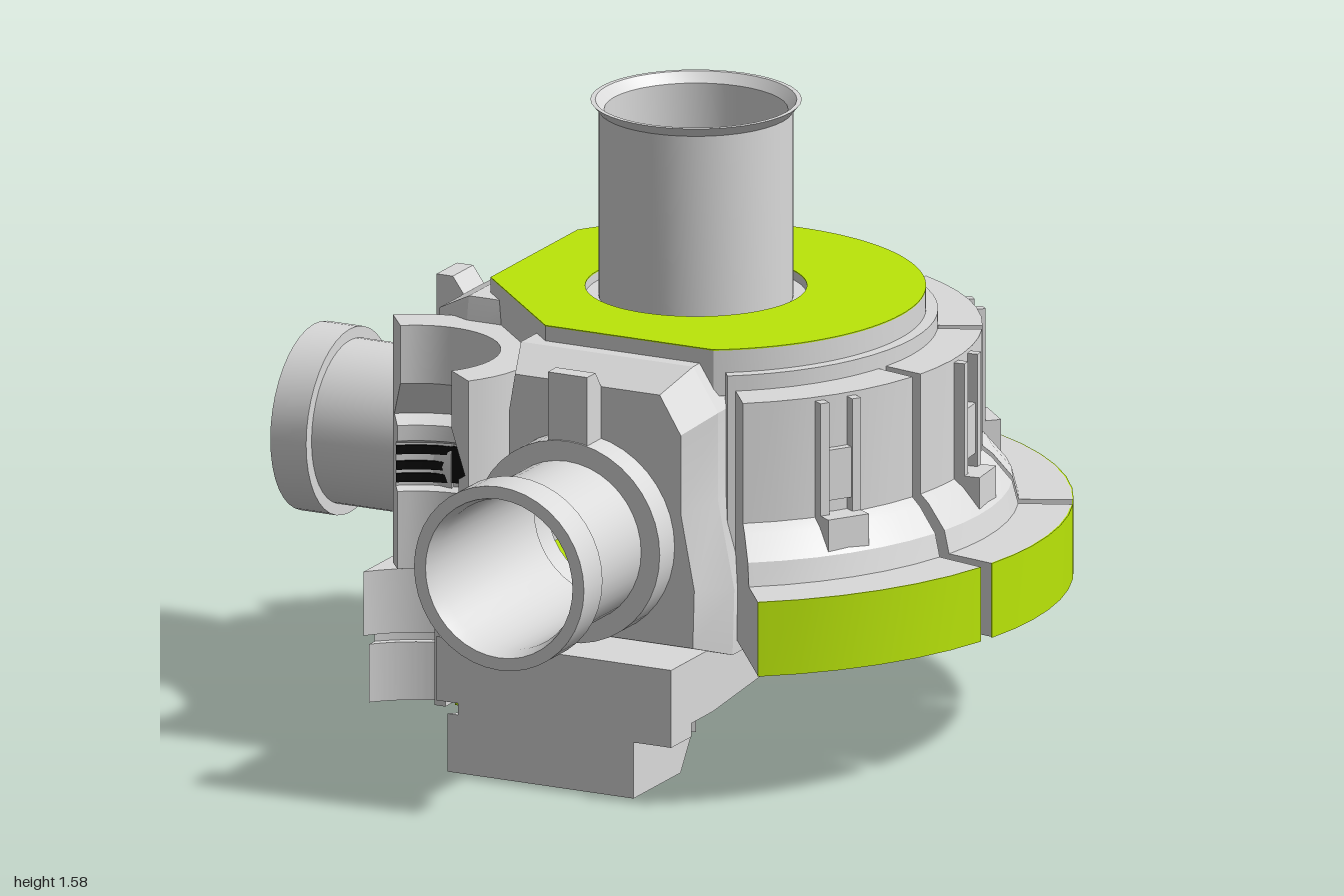
import * as THREE from 'three';
import { toCreasedNormals } from 'three/addons/utils/BufferGeometryUtils.js';

const mat = (name, color) => {
  const m = new THREE.MeshStandardMaterial({ color, side: THREE.DoubleSide });
  m.name = name;
  return m;
};
const rad = THREE.MathUtils.degToRad;
const vecs = pts => pts.map(p => new THREE.Vector2(...p));

export function createModel() {
  const grey = mat('castGrey', 0xdadada), green = mat('limeGreen', 0xbae608);
  const red = mat('red', 0xdc0a0a), black = mat('black', 0x080808);

  const model = new THREE.Group();
  model.name = 'turbineHousing';
  const main = new THREE.Group();       // everything is placed around the chimney axis
  main.name = 'housing';
  main.position.set(0.065, 0, -0.065);
  model.add(main);

  const add = (name, geo, m, parent = main) => {
    const mesh = new THREE.Mesh(geo, m);
    mesh.name = name;
    parent.add(mesh);
    return mesh;
  };

  // closed (radius, height) profile swept from angle a0 to a1, measured from +x towards -z
  const sector = (pts, a0, a1, steps) => {
    const g = new THREE.ExtrudeGeometry(new THREE.Shape(vecs(pts)), { depth: 1, steps, bevelEnabled: false });
    const p = g.attributes.position;
    for (let i = 0; i < p.count; i++) {
      const r = p.getX(i), t = -rad(a1 + (a0 - a1) * p.getZ(i));
      p.setXYZ(i, r * Math.cos(t), p.getY(i), r * Math.sin(t));
    }
    return toCreasedNormals(g, 0.4);
  };
  const rect = (r0, r1, y0, y1) => [[r0, y0], [r1, y0], [r1, y1], [r0, y1]];

  // plan outline (x, -z) extruded upward from y0 to y1
  const plan = (shape, y0, y1) => {
    const g = new THREE.ExtrudeGeometry(shape, { depth: y1 - y0, bevelEnabled: false, curveSegments: 32 });
    g.rotateX(-Math.PI / 2).translate(0, y0, 0);
    return toCreasedNormals(g, 0.4);
  };
  const hole = (shape, r, x = 0, y = 0) => {
    shape.holes.push(new THREE.Path().absarc(x, y, r, 0, Math.PI * 2, true));
    return shape;
  };
  // closed profile turned right round
  const turned = (pts, n = 40) =>
    toCreasedNormals(new THREE.LatheGeometry(vecs([...pts, pts[0]]), n), 0.4);

  // Main shell and its five segments
  const A0 = -53.3, A1 = 143.3, cuts = [A0, -12.4, 24.8, 65.2, 102.4, A1];
  add('coreWall', sector(rect(0.53, 0.6, 0.37, 1.04), A0 - 2, A1 + 2, 36), grey);
  const profile = [[0.6, 0.362], [0.933, 0.362], [0.933, 0.552], [0.8, 0.552], [0.785, 0.61],
    [0.735, 0.67], [0.71, 0.69], [0.71, 1.0], [0.6, 1.0]];
  for (let i = 0; i < 5; i++) {
    const s = cuts[i] + (i > 0 ? 1.3 : 0), e = cuts[i + 1] - (i < 4 ? 1.3 : 0), mid = (s + e) / 2;
    add('segment', sector(profile, s, e, 6), grey);
    add('segmentBand', sector(rect(0.932, 0.936, 0.36, 0.552), s, e, 6), green);
    add('floorPatch', sector(rect(0.36, 0.64, 0.357, 0.361), mid - 14, mid + 14, 4), red);
    // clip: two rails, a bridge and a foot
    const clip = new THREE.Group();
    clip.name = 'clip';
    clip.rotation.y = rad(mid);
    main.add(clip);
    const box = (w, h, d, x, y, z) =>
      add('clipPart', new THREE.BoxGeometry(w, h, d).translate(x, y, z), grey, clip);
    for (const z of [-0.045, 0.045]) box(0.06, 0.4, 0.025, 0.705, 0.79, z);
    box(0.06, 0.13, 0.07, 0.7, 0.8, 0);
    box(0.09, 0.14, 0.115, 0.73, 0.63, 0);
  }

  // Roof with two flats, a cut corner and a coloured top
  const roof = () => {
    const f = 0.485, a = Math.asin(f / 0.57), s = new THREE.Shape();
    s.absarc(0, 0, 0.57, -a, Math.PI / 2 + a, false);
    s.lineTo(-f, -0.17);
    s.lineTo(-0.17, -f);
    return hole(s, 0.275);
  };
  add('roof', plan(roof(), 0.98, 1.097), grey);
  add('roofTop', plan(roof(), 1.097, 1.1), green);

  // Chimney with flared lip
  add('chimney', turned([[0.228, 0.92], [0.242, 0.92], [0.242, 1.555], [0.262, 1.58],
    [0.25, 1.58], [0.228, 1.555]]), grey);
  add('chimneyCollar', turned([[0.24, 1.06], [0.285, 1.06], [0.285, 1.075], [0.24, 1.075]]), grey);

  // Inner hub with spokes and a red-striped bar
  add('hubRing', turned([[0.115, 0.73], [0.135, 0.73], [0.135, 0.78], [0.115, 0.78]]), grey);
  add('hubRim', turned([[0.2, 0.76], [0.235, 0.76], [0.235, 0.8], [0.2, 0.8]]), grey);
  for (const a of [30, 150, 270])
    add('spoke', new THREE.BoxGeometry(0.1, 0.03, 0.02).translate(0.175, 0.765, 0)
      .rotateY(rad(a)), grey);
  add('diagonalBar', new THREE.BoxGeometry(0.42, 0.03, 0.035).rotateY(-Math.PI / 4)
    .translate(0, 0.7, 0), grey);
  add('diagonalStripe', new THREE.BoxGeometry(0.42, 0.004, 0.012).rotateY(-Math.PI / 4)
    .translate(0, 0.715, 0), red);
  for (const [x, z] of [[-0.1, -0.17], [0.17, 0.1]])
    add('redTile', new THREE.BoxGeometry(0.06, 0.004, 0.05).rotateY(-Math.PI / 4)
      .translate(x, 0.715, z), red);

  // Floor: coloured below, plain in the middle above, with a coloured band inside the shell
  add('floor', sector(rect(0.28, 0.6, 0.362, 0.37), A0, A1, 30), green);
  add('floorFront', sector(rect(0.28, 0.46, 0.362, 0.37), A1, A0 + 360, 24), green);
  add('floorMiddle', turned([[0.12, 0.362], [0.29, 0.362], [0.29, 0.366], [0.12, 0.366]]), green);
  add('floorMiddleTop', turned([[0.12, 0.366], [0.29, 0.366], [0.29, 0.372], [0.12, 0.372]]), grey);
  add('innerBand', sector(rect(0.52, 0.528, 0.37, 0.555), A0, A1, 30), green);
  for (const a of [177, 273])
    add('floorMiddlePatch', sector(rect(0.19, 0.3, 0.357, 0.361), a - 10, a + 10, 3), red);

  // Side arms: tapered mount, collar, fin and flanged pipe
  const arm = (turn, side) => {
    const g = new THREE.Group();
    g.name = 'pipeArm';
    g.rotation.y = turn;
    main.add(g);
    const outline = [[-0.24, 0.33], [0.37, 0.33], [0.375, 0.5], [0.33, 0.72], [0.33, 0.95],
      [0.26, 1.06], [-0.22, 1.06], [-0.24, 0.95]];
    const s = new THREE.Shape(vecs(outline.map(([x, y]) => [x * side, y])));
    const mount = new THREE.ExtrudeGeometry(hole(s, 0.2, 0, 0.62),
      { depth: 0.2, steps: 2, bevelEnabled: false, curveSegments: 20 });
    const p = mount.attributes.position;
    for (let i = 0; i < p.count; i++) {
      const x = p.getX(i), y = p.getY(i) - 0.62;
      if (p.getZ(i) > 0.15 && Math.hypot(x, y) > 0.21) p.setXY(i, x * 0.84, 0.62 + y * 0.88);
    }
    add('mount', toCreasedNormals(mount.translate(0, 0, 0.42), 0.4), grey, g);
    const along = geo => geo.rotateX(Math.PI / 2).translate(0, 0.62, 0);
    add('collar', along(turned([[0.195, 0.55], [0.26, 0.55], [0.26, 0.7], [0.195, 0.7]])), grey, g);
    add('pipe', along(turned([[0.193, 0.5], [0.208, 0.5], [0.208, 0.965], [0.237, 0.965],
      [0.237, 1.065], [0.205, 1.065], [0.193, 1.02]])), grey, g);
    const fin = new THREE.Shape(vecs([[0.5, 0.84], [0.695, 0.84], [0.695, 1.05], [0.65, 1.05],
      [0.6, 0.98], [0.5, 1.06]]));
    add('fin', new THREE.ExtrudeGeometry(fin, { depth: 0.11, bevelEnabled: false })
      .rotateY(-Math.PI / 2).translate(0.055, 0, 0), grey, g);
  };
  arm(0, 1);
  arm(-Math.PI / 2, -1);

  // Concave corner wall with dark stripes, around a second axis
  const C = -0.515;
  const corner = new THREE.Group();
  corner.name = 'concaveCorner';
  corner.position.set(C, 0, -C);
  main.add(corner);
  add('concaveWall', sector([[0.25, 0.36], [0.31, 0.36], [0.31, 1.0], [0.21, 1.0], [0.21, 0.85],
    [0.29, 0.75], [0.25, 0.73], [0.25, 0.69], [0.27, 0.68], [0.27, 0.57], [0.25, 0.56]],
    -38, 128, 24), grey, corner);
  add('darkBand', sector(rect(0.262, 0.27, 0.582, 0.675), -10, 100, 16), black, corner);
  for (const [a0, a1] of [[-38, -10], [100, 128]])
    for (const y of [0.58, 0.612, 0.652])
      add('darkStripe', sector(rect(0.262, 0.27, y, y + 0.022), a0, a1, 6), black, corner);

  // Base: three faceted wedges, a recessed neck and a keyhole-shaped ring
  const end = r => Math.asin(0.24 / r), quarter = Math.PI / 2;
  const foot = (outer, r, b0, b1) =>
    new THREE.Shape(vecs(outer)).absarc(C, C, r, b1, b0, true);
  const flip = pts => pts.map(([x, y]) => [y, x]).reverse();
  const sidePts = [[0.215, -0.755], [0.215, -0.5], [0.085, -0.19]];
  const midPts = [[0.085, -0.165], [-0.165, 0.085]];
  const r = 0.32;
  add('baseWedge', plan(foot(sidePts, r, -end(r), rad(27)), 0, 0.15), grey);
  add('baseWedge', plan(foot(midPts, r, rad(31), rad(59)), 0, 0.15), grey);
  add('baseWedge', plan(foot(flip(sidePts), r, rad(63), quarter + end(r)), 0, 0.15), grey);
  const neck = [[0.212, -0.755], [0.212, -0.5], [0.06, -0.165]];
  add('baseNeck', plan(foot([...neck, ...flip(neck)], 0.34, -end(0.34), quarter + end(0.34)),
    0.145, 0.185), grey);

  const key = new THREE.Shape();
  key.moveTo(0.32, -0.755);
  key.lineTo(0.32, -0.53);
  key.absarc(0, 0, 0.345, rad(-35), rad(125), false);
  key.lineTo(-0.53, 0.32);
  key.lineTo(-0.755, 0.32);
  key.absarc(C, C, 0.3, quarter + end(0.3), -end(0.3), true);
  add('baseRing', plan(hole(key, 0.3), 0.18, 0.345), grey);
  add('baseLip', sector(rect(0.3, 0.36, 0.32, 0.365), -40, 130, 30), grey);
  for (const [x, z] of [[0.265, 0.7], [-0.7, -0.265]])
    add('baseFoot', new THREE.BoxGeometry(0.11, 0.04, 0.11).translate(x, 0.165, z), grey);

  // Coloured inserts and ribs on the inner face of the base
  for (const a of [0, 90]) {
    add('baseInsert', new THREE.BoxGeometry(0.009, 0.34, 0.08).translate(0.293, 0.17, 0)
      .rotateY(rad(a)), green, corner);
    for (const z of [-0.07, 0.07])
      add('baseRib', new THREE.BoxGeometry(0.05, 0.36, 0.03).translate(0.29, 0.18, z)
        .rotateY(rad(a)), grey, corner);
  }
  return model;
}
